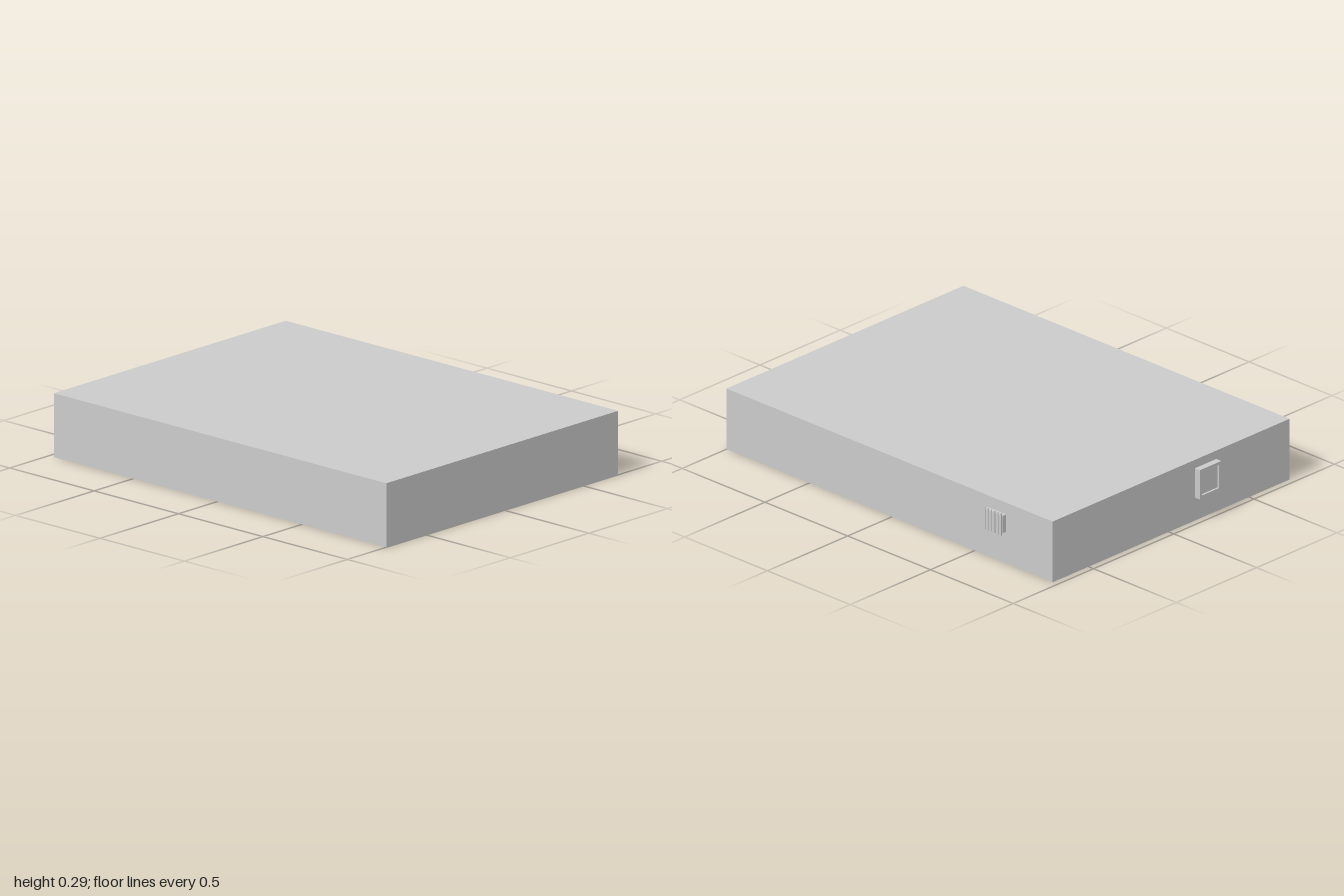
import * as THREE from 'three';

export function createModel() {
  const model = new THREE.Group();
  const material = new THREE.MeshStandardMaterial({ color: 0xcccccc, flatShading: true });

  // Box given by its minimum and maximum corners
  function box(name, min, max, parent = model) {
    const size = max.map((v, i) => v - min[i]);
    const mesh = new THREE.Mesh(new THREE.BoxGeometry(...size), material);
    mesh.position.set(...min.map((v, i) => (v + max[i]) / 2));
    mesh.name = name;
    parent.add(mesh);
    return mesh;
  }

  // Flat main block
  box('body', [-0.97, 0, -0.724], [1, 0.29, 0.752]);

  // Framed window on the right side
  const sideWindow = new THREE.Group();
  sideWindow.name = 'sideWindow';
  model.add(sideWindow);
  const w = 0.015;
  const [y0, y1, z0, z1] = [0.11, 0.25, 0.162, 0.296];
  box('frameBottom', [-1, y0, z0], [-0.97, y0 + w, z1], sideWindow);
  box('frameTop', [-1, y1 - w, z0], [-0.97, y1, z1], sideWindow);
  box('frameBack', [-1, y0 + w, z0], [-0.97, y1 - w, z0 + w], sideWindow);
  box('frameFront', [-1, y0 + w, z1 - w], [-0.97, y1 - w, z1], sideWindow);
  box('windowPane', [-0.99, y0 + w, z0 + w], [-0.97, y1 - w, z1 - w], sideWindow);

  // Small vent on the back, with upright bars in front of it
  const vent = new THREE.Group();
  vent.name = 'backVent';
  model.add(vent);
  box('ventBox', [-0.69, 0.152, -0.746], [-0.58, 0.234, -0.724], vent);
  const bars = 6;
  for (let i = 0; i < bars; i++) {
    const x = -0.684 + (i * 0.098) / (bars - 1);
    box('ventBar', [x - 0.003, 0.14, -0.752], [x + 0.003, 0.246, -0.748], vent);
  }

  return model;
}
